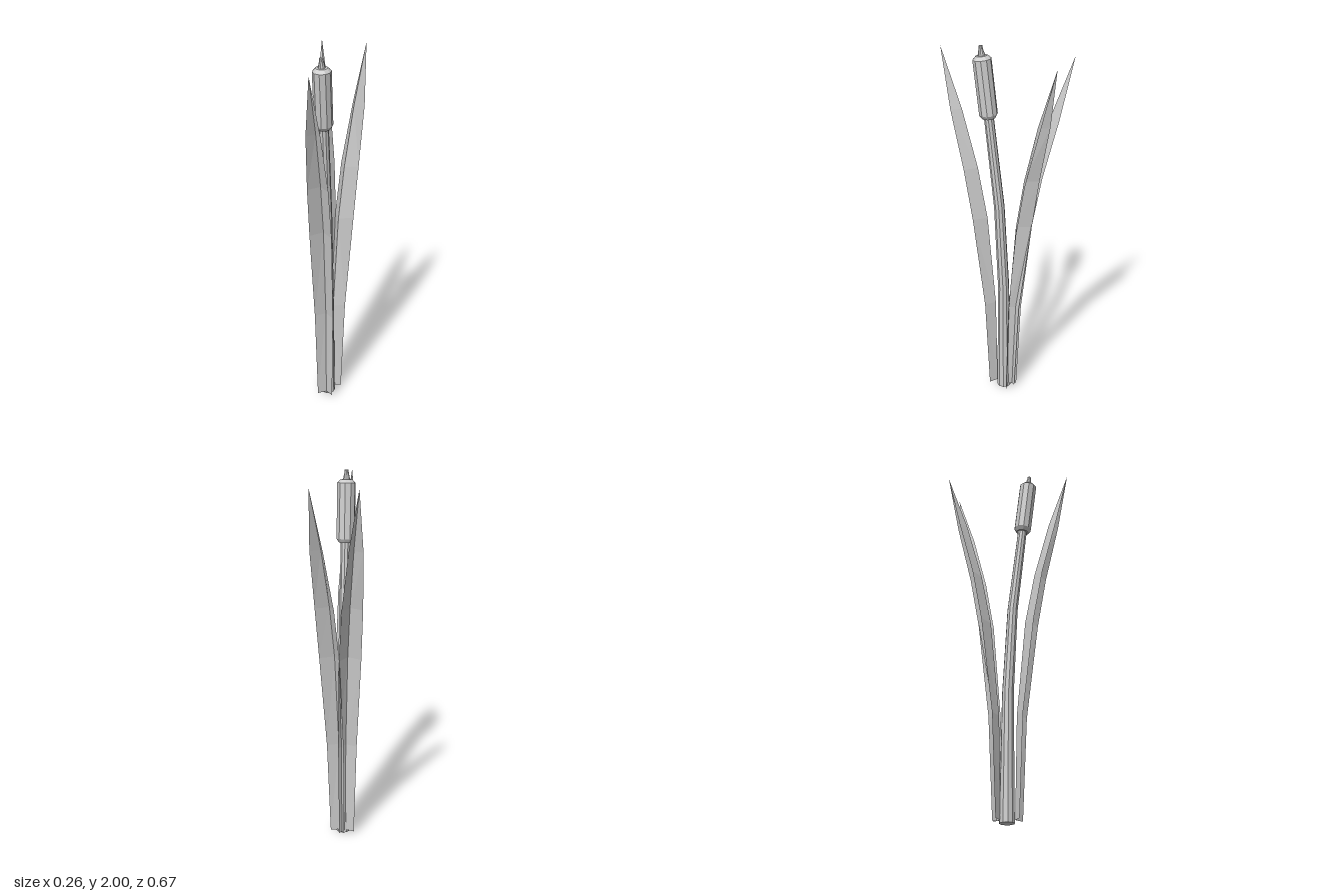
import * as THREE from 'three';

const material = new THREE.MeshStandardMaterial({ color: 0xcccccc, flatShading: true, side: THREE.DoubleSide });

// Centre line of the stalk: [height, z]
const PATH = [[0, -0.016], [0.67, -0.012], [1.15, 0.013], [1.64, 0.07], [2, 0.113]];

function centre(y) {
  let i = 0;
  while (i < PATH.length - 2 && y > PATH[i + 1][0]) i++;
  const [y0, z0] = PATH[i], [y1, z1] = PATH[i + 1];
  return z0 + (z1 - z0) * (y - y0) / (y1 - y0);
}

// Ten-sided lathe whose rings follow the leaning centre line
function stalkPart(name, profile) {
  const geometry = new THREE.LatheGeometry(profile.map(([r, y]) => new THREE.Vector2(r, y)), 10);
  const p = geometry.attributes.position;
  for (let i = 0; i < p.count; i++) {
    const y = p.getY(i), z = p.getZ(i);
    const tilt = Math.atan((centre(y + 0.05) - centre(y - 0.05)) / 0.1);
    p.setY(i, y < 0.01 ? y : y - z * Math.sin(tilt));
    p.setZ(i, centre(y) + z * Math.cos(tilt));
  }
  geometry.computeVertexNormals();
  const mesh = new THREE.Mesh(geometry, material);
  mesh.name = name;
  return mesh;
}

// Leaf sections: [height, fold distance, edge distance, half width]
const LEAF = [
  [0.015, 0.025, 0.055, 0.042],
  [0.55, 0.035, 0.077, 0.051],
  [1.07, 0.082, 0.14, 0.059],
  [1.35, 0.135, 0.19, 0.055],
  [1.66, 0.22, 0.267, 0.037],
  [1.975, 0.333, 0.333, 0],
];

// Folded blade with its crease toward the stalk
function leaf(name, angle, offset) {
  const positions = [], index = [];
  LEAF.forEach(([y, fold, edge, w], i) => {
    positions.push(-w, y, edge + offset, 0, y, fold + offset, w, y, edge + offset);
    if (i === LEAF.length - 1) return;
    for (let j = 0; j < 2; j++) {
      const a = i * 3 + j, b = a + 1, c = a + 4, d = a + 3;
      index.push(a, b, c, a, c, d);
    }
  });
  const geometry = new THREE.BufferGeometry();
  geometry.setAttribute('position', new THREE.Float32BufferAttribute(positions, 3));
  geometry.setIndex(index);
  geometry.computeVertexNormals();
  const mesh = new THREE.Mesh(geometry, material);
  mesh.name = name;
  mesh.rotation.y = angle;
  return mesh;
}

export function createModel() {
  const group = new THREE.Group();
  group.name = 'reedPlant';

  // Stalk, seed head and tip spike
  group.add(
    stalkPart('stem', [[0, 0], [0.039, 0], [0.031, 0.67], [0.028, 1.15], [0.025, 1.65]]),
    stalkPart('seedHead', [[0, 1.635], [0.034, 1.635], [0.0475, 1.655], [0.0475, 1.935], [0.03, 1.952], [0, 1.952]]),
    stalkPart('tipSpike', [[0.019, 1.95], [0.011, 1.985], [0.01, 2], [0, 2]]),
  );

  // One leaf in front, a mirrored pair behind
  const spread = 0.34;
  group.add(leaf('frontLeaf', 0, 0));
  group.add(leaf('backLeftLeaf', Math.PI - spread, 0.022));
  group.add(leaf('backRightLeaf', Math.PI + spread, 0.022));
  return group;
}
